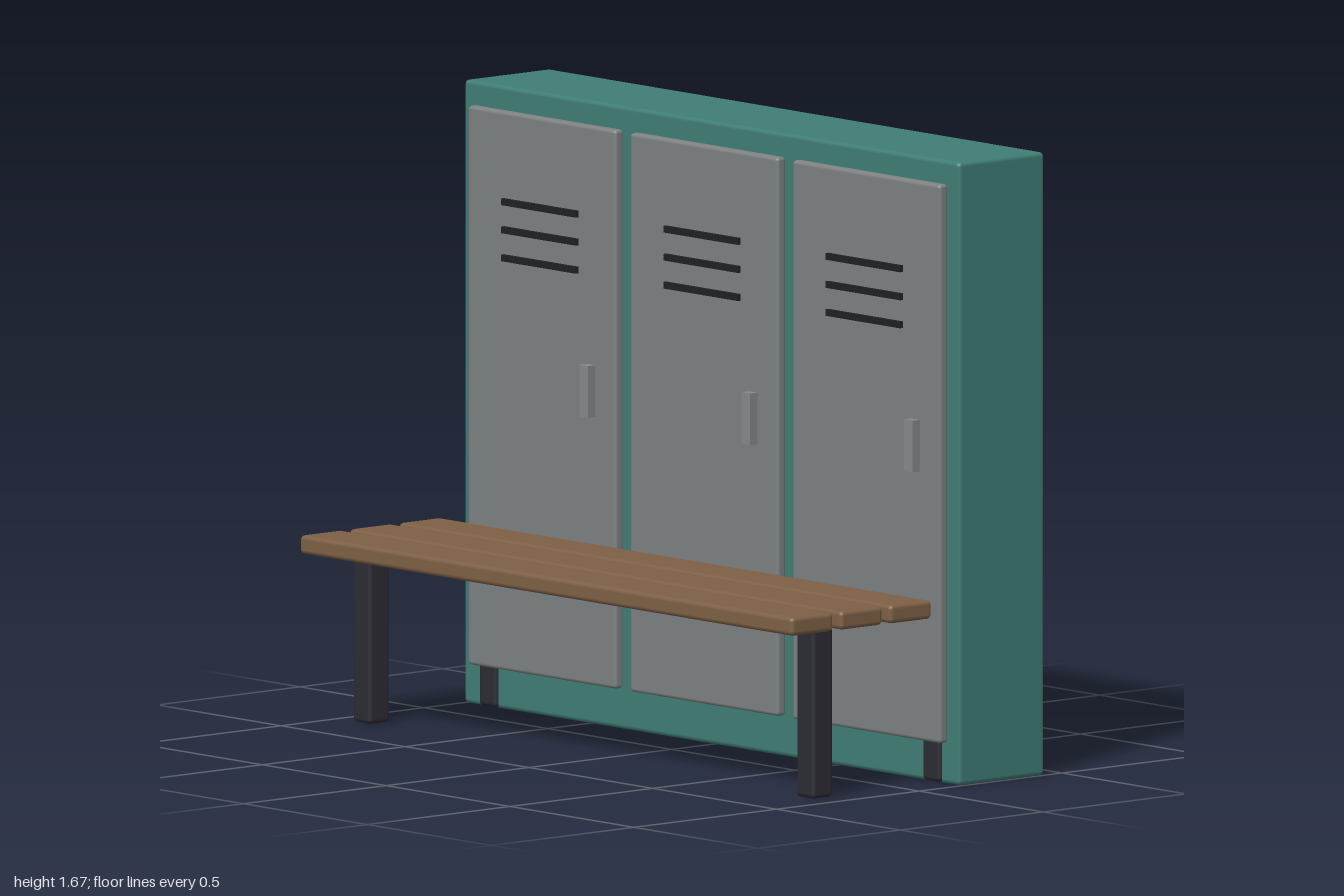
import * as THREE from 'three';
import { RoundedBoxGeometry } from 'three/addons/geometries/RoundedBoxGeometry.js';

const mat = (name, color) => {
  const m = new THREE.MeshStandardMaterial({ color });
  m.name = name;
  return m;
};

export function createModel() {
  const teal = mat('teal paint', 0x3f7d75);
  const grey = mat('door grey', 0x7d8182);
  const steel = mat('handle steel', 0x85898a);
  const black = mat('vent black', 0x202126);
  const iron = mat('dark iron', 0x2c2b34);
  const wood = mat('wood', 0x7d6045);

  const model = new THREE.Group();
  model.name = 'lockersAndBench';

  // Box given by its min and max on each axis; bevel 0 gives sharp edges
  const addBox = (parent, name, material, [x0, x1], [y0, y1], [z0, z1], bevel = 0) => {
    const w = x1 - x0, h = y1 - y0, d = z1 - z0;
    const geo = bevel
      ? new RoundedBoxGeometry(w, h, d, 2, bevel)
      : new THREE.BoxGeometry(w, h, d);
    const mesh = new THREE.Mesh(geo, material);
    mesh.name = name;
    mesh.position.set((x0 + x1) / 2, (y0 + y1) / 2, (z0 + z1) / 2);
    parent.add(mesh);
  };

  // Locker cabinet with three doors
  const lockers = new THREE.Group();
  lockers.name = 'lockers';
  model.add(lockers);
  addBox(lockers, 'cabinet', teal, [-1, 1], [0, 1.667], [-0.44, -0.14], 0.012);

  for (const x of [-0.655, 0, 0.655]) {
    const door = new THREE.Group();
    door.name = 'door';
    door.position.x = x;
    lockers.add(door);
    addBox(door, 'doorPanel', grey, [-0.299, 0.299], [0.11, 1.605], [-0.143, -0.112], 0.01);
    addBox(door, 'handle', steel, [0.185, 0.219], [0.83, 0.968], [-0.115, -0.085]);
    for (const y of [1.215, 1.29, 1.365]) {
      addBox(door, 'ventSlot', black, [-0.15, 0.15], [y - 0.009, y + 0.009], [-0.114, -0.102]);
    }
  }

  // Bench: three planks on four legs, the rear pair set into the cabinet base
  const bench = new THREE.Group();
  bench.name = 'bench';
  model.add(bench);
  for (const z of [0.022, 0.195, 0.368]) {
    addBox(bench, 'plank', wood, [-0.995, 0.995], [0.455, 0.505], [z - 0.073, z + 0.073], 0.012);
  }
  for (const x of [-0.895, 0.895]) {
    addBox(bench, 'frontLeg', iron, [x - 0.036, x + 0.036], [0, 0.456], [0.239, 0.311], 0.012);
    addBox(bench, 'rearLeg', iron, [x - 0.036, x + 0.036], [0.002, 0.456], [-0.202, -0.13], 0.012);
  }

  return model;
}
